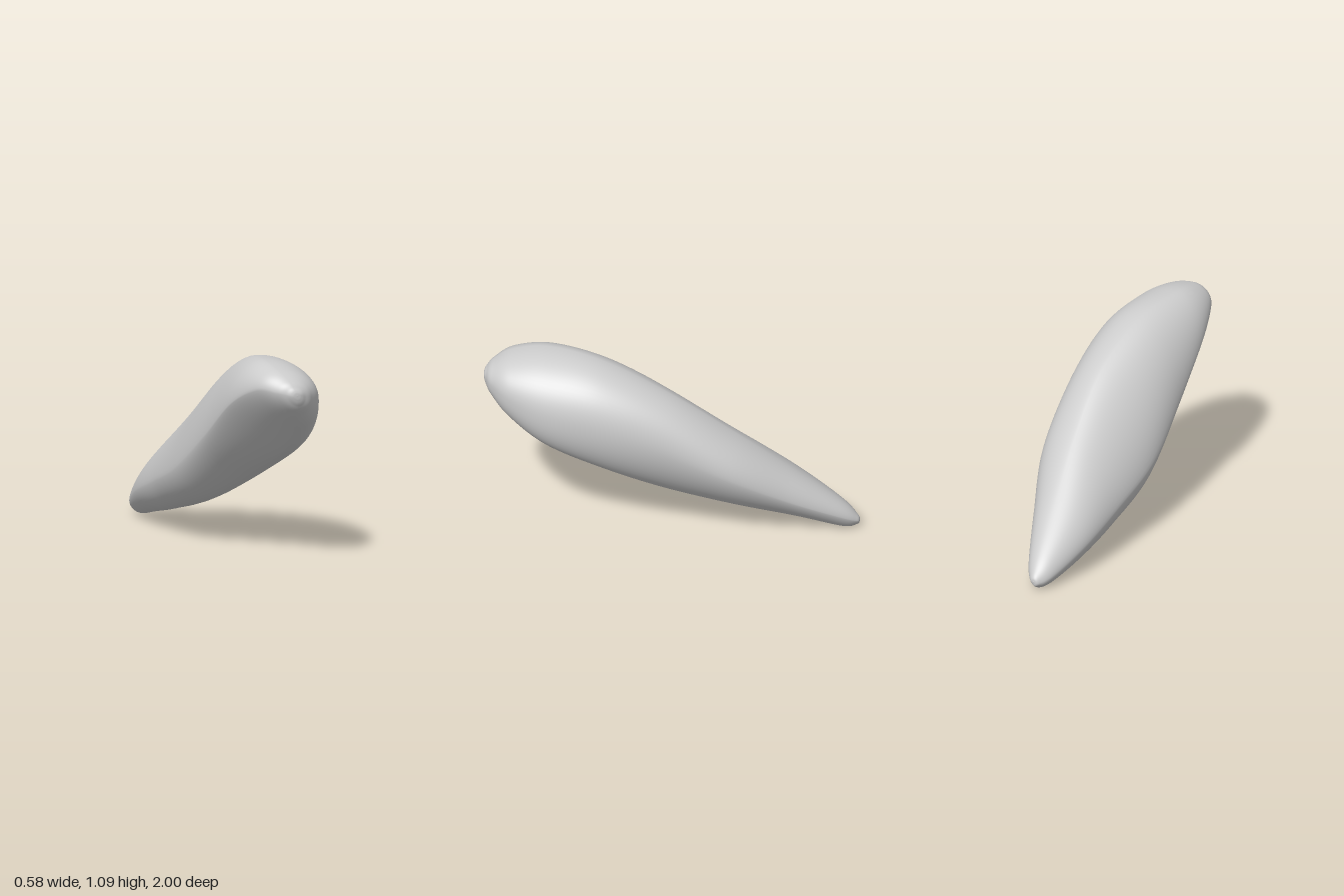
import * as THREE from 'three';
import { mergeVertices } from 'three/addons/utils/BufferGeometryUtils.js';

// Extremes of a few cross-sections from tail to nose:
// z, left x y, right x y, bottom x y, top x y
const SECTIONS = [
  [-1.00, -0.135, 0.05, -0.135, 0.05, -0.135, 0.05, -0.135, 0.05],
  [-0.985, -0.165, 0.045, -0.105, 0.06, -0.14, 0.02, -0.13, 0.085],
  [-0.90, -0.215, 0.08, -0.048, 0.115, -0.14, 0.003, -0.115, 0.18],
  [-0.65, -0.27, 0.18, 0.07, 0.265, -0.16, 0.055, -0.06, 0.395],
  [-0.35, -0.284, 0.28, 0.197, 0.46, -0.16, 0.12, 0.00, 0.64],
  [0.00, -0.288, 0.41, 0.255, 0.65, -0.12, 0.22, 0.04, 0.89],
  [0.35, -0.25, 0.64, 0.29, 0.765, 0.03, 0.415, 0.02, 1.05],
  [0.65, -0.21, 0.86, 0.275, 0.82, 0.10, 0.58, -0.025, 1.092],
  [0.85, -0.14, 0.96, 0.215, 0.89, 0.10, 0.735, -0.02, 1.065],
  [0.95, -0.06, 0.955, 0.14, 0.92, 0.065, 0.835, 0.01, 1.015],
  [0.985, -0.01, 0.945, 0.09, 0.93, 0.05, 0.885, 0.025, 0.98],
  [0.997, 0.015, 0.94, 0.065, 0.94, 0.045, 0.915, 0.035, 0.96],
  [1.00, 0.04, 0.94, 0.04, 0.94, 0.04, 0.94, 0.04, 0.94],
];

// Smooth rail running the length of the body through one extreme of each section
function rail(column) {
  const points = SECTIONS.map((s) => new THREE.Vector3(s[column], s[column + 1], s[0]));
  return new THREE.CatmullRomCurve3(points, false, 'catmullrom', 0.5);
}

const bump = (z, centre, width) => Math.exp(-(((z - centre) / width) ** 2));

function createBodyGeometry(rings = 144, sides = 64) {
  const left = rail(1), right = rail(3), bottom = rail(5), top = rail(7);
  const quarter = sides / 4;
  // Each quarter: side rail, vertical rail, flatness along z, starts at the side
  const quarters = [
    [right, top, () => 0.95, true],
    [left, top, (z) => 1.08 + 0.25 * bump(z, -0.2, 0.4), false],
    [left, bottom, (z) => 1.12 + 0.4 * bump(z, 0.68, 0.3), true],
    [right, bottom, (z) => 1.13 - 0.33 * z, false],
  ];
  const positions = [], indices = [];

  for (let i = 0; i <= rings; i++) {
    const u = i / rings;
    for (const [sideRail, capRail, flatness, fromSide] of quarters) {
      const side = sideRail.getPoint(u), cap = capRail.getPoint(u);
      const power = flatness(side.z);
      for (let j = 0; j < quarter; j++) {
        const t = (fromSide ? j : quarter - j) / quarter * Math.PI / 2;
        const c = Math.cos(t) ** power, s = Math.sin(t) ** power;
        positions.push(cap.x + (side.x - cap.x) * c, side.y + (cap.y - side.y) * s, side.z);
      }
    }
  }
  // Skin the rings, with single triangles at both tips
  for (let i = 0; i < rings; i++) {
    for (let j = 0; j < sides; j++) {
      const k = (j + 1) % sides;
      const a = i * sides + j, b = i * sides + k, c = a + sides, d = b + sides;
      if (i > 0) indices.push(a, b, c);
      if (i < rings - 1) indices.push(b, d, c);
    }
  }
  const geometry = new THREE.BufferGeometry();
  geometry.setAttribute('position', new THREE.Float32BufferAttribute(positions, 3));
  geometry.setIndex(indices);
  const merged = mergeVertices(geometry, 1e-5);
  merged.computeVertexNormals();
  return merged;
}

export function createModel() {
  const group = new THREE.Group();
  group.name = 'smoothElongatedForm';
  const material = new THREE.MeshStandardMaterial({ color: 0xcccccc });
  material.name = 'light grey';
  const body = new THREE.Mesh(createBodyGeometry(), material);
  body.name = 'body';
  group.add(body);
  return group;
}
